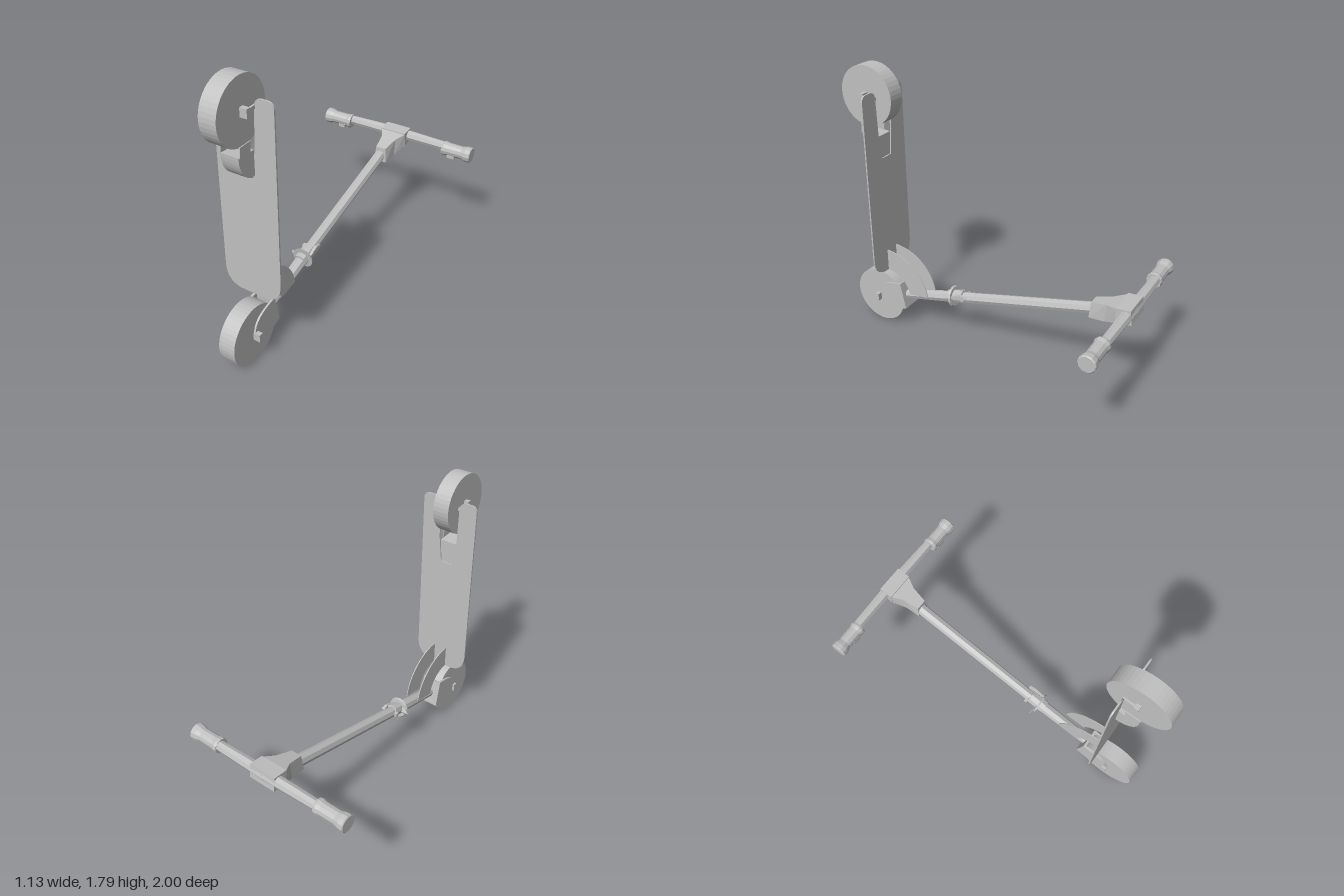
import * as THREE from 'three';
import { ConvexGeometry } from 'three/addons/geometries/ConvexGeometry.js';

const grey = new THREE.MeshStandardMaterial({ color: 0xc0c0c0, flatShading: true, side: THREE.DoubleSide });
grey.name = 'light grey';

export function createModel() {
  const root = new THREE.Group();
  root.name = 'foldedScooter';

  const add = (name, geo, x = 0, y = 0, z = 0) => {
    const m = new THREE.Mesh(geo, grey);
    m.name = name;
    m.position.set(x, y, z);
    root.add(m);
    return m;
  };
  // Plate drawn as a side profile (z, y) and extruded from x0 to x1
  const sidePlate = (name, shape, x0, x1) => {
    const g = new THREE.ExtrudeGeometry(shape, { depth: x1 - x0, bevelEnabled: false, curveSegments: 12 });
    g.rotateY(-Math.PI / 2);
    return add(name, g, x1);
  };
  const poly = (pts) => new THREE.Shape(pts.map((p) => new THREE.Vector2(...p)));
  const hull = (name, pts) => add(name, new ConvexGeometry(pts.map((p) => new THREE.Vector3(...p))));
  // Tapered rod between two points
  const rod = (name, a, b, ra, rb, sides) => {
    const va = new THREE.Vector3(...a), vb = new THREE.Vector3(...b);
    const d = vb.clone().sub(va);
    const m = add(name, new THREE.CylinderGeometry(rb, ra, d.length(), sides));
    m.position.copy(va).add(vb).multiplyScalar(0.5);
    m.quaternion.setFromUnitVectors(new THREE.Vector3(0, 1, 0), d.normalize());
    return m;
  };

  // Wheels and axles
  for (const [name, y, r] of [['frontWheel', 0.19, 0.19], ['rearWheel', 1.605, 0.188]]) {
    const g = new THREE.CylinderGeometry(r, r, 0.106, 44);
    g.rotateZ(Math.PI / 2);
    add(name, g, -0.003, y, 0.811);
    add(name + 'Axle', new THREE.BoxGeometry(0.18, 0.052, 0.028), 0.004, y, 0.812);
  }

  // Deck: thin rounded board with a tapered slot for the rear wheel
  const deck = new THREE.Shape();
  deck.moveTo(-0.09, 0.42);
  deck.lineTo(0.085, 0.42);
  deck.quadraticCurveTo(0.185, 0.435, 0.187, 0.55);
  deck.lineTo(0.187, 1.61);
  deck.quadraticCurveTo(0.187, 1.652, 0.145, 1.652);
  deck.lineTo(0.11, 1.652);
  deck.quadraticCurveTo(0.075, 1.65, 0.068, 1.61);
  deck.lineTo(0.06, 1.38);
  deck.lineTo(0.04, 1.215);
  deck.lineTo(-0.045, 1.215);
  deck.lineTo(-0.065, 1.38);
  deck.lineTo(-0.07, 1.61);
  deck.quadraticCurveTo(-0.08, 1.65, -0.115, 1.652);
  deck.lineTo(-0.15, 1.652);
  deck.quadraticCurveTo(-0.19, 1.652, -0.19, 1.61);
  deck.lineTo(-0.19, 0.55);
  deck.quadraticCurveTo(-0.188, 0.435, -0.09, 0.42);
  add('deck', new THREE.ExtrudeGeometry(deck, { depth: 0.01, bevelEnabled: false, curveSegments: 8 }), 0, 0, 0.727);

  // Tabs holding the rear axle
  for (const x of [-0.068, 0.068]) {
    add('rearDropout', new THREE.BoxGeometry(0.012, 0.02, 0.09), x, 1.603, 0.77);
  }

  // Rear fender: curved quarter block with two side ears
  const fender = new THREE.Shape();
  fender.moveTo(0.735, 1.36);
  fender.lineTo(0.735, 1.215);
  fender.lineTo(0.755, 1.208);
  fender.quadraticCurveTo(0.855, 1.24, 0.86, 1.37);
  sidePlate('rearFender', fender, -0.06, 0.053);
  const ear = [[0.775, 1.36], [0.86, 1.37], [0.855, 1.43], [0.77, 1.43]];
  for (const x of [-0.063, 0.057]) sidePlate('rearFenderEar', poly(ear), x, x + 0.006);

  // Folding guide: a pair of quarter-ring plates
  const ring = new THREE.Shape();
  ring.absarc(0.725, 0.25, 0.317, Math.PI / 2, Math.PI * 0.95, false);
  ring.absarc(0.725, 0.25, 0.17, Math.PI * 0.95, Math.PI / 2, true);
  for (const x of [-0.042, 0.048]) sidePlate('foldingGuide', ring, x, x + 0.006);

  // Front fork: side covers joined by a block behind the wheel
  const cover = new THREE.Shape();
  cover.moveTo(0.63, 0.335);
  cover.lineTo(0.592, 0.155);
  cover.quadraticCurveTo(0.69, 0.115, 0.75, 0.125);
  cover.quadraticCurveTo(0.81, 0.145, 0.822, 0.2);
  cover.quadraticCurveTo(0.82, 0.26, 0.77, 0.295);
  cover.quadraticCurveTo(0.72, 0.325, 0.63, 0.335);
  sidePlate('forkCoverRight', cover, -0.072, -0.056);
  sidePlate('forkCoverLeft', cover, 0.05, 0.062);
  sidePlate('forkBridge', poly([[0.645, 0.33], [0.63, 0.335], [0.592, 0.155], [0.632, 0.145]]), -0.068, 0.058);

  // Steering stem
  rod('stemLower', [0, 0.238, 0.61], [-0.006, 0.335, 0.25], 0.032, 0.038, 8);
  rod('stem', [-0.006, 0.335, 0.25], [-0.01, 0.6, -0.74], 0.035, 0.037, 8);

  // Folding clamp: thin collar and release lever
  rod('clampCollar', [-0.005, 0.343, 0.242], [-0.005, 0.345, 0.23], 0.07, 0.064, 14);
  hull('clampCollarTab', [[-0.1, 0.335, 0.22], [-0.1, 0.35, 0.215], [-0.04, 0.31, 0.24], [-0.04, 0.37, 0.235], [-0.04, 0.34, 0.215]]);
  rod('clampRing', [-0.005, 0.337, 0.27], [-0.005, 0.367, 0.16], 0.043, 0.042, 8);
  const lever = [[0.245, 0.36], [0.235, 0.345], [0.13, 0.37], [0.12, 0.385], [0.16, 0.395]];
  sidePlate('clampLever', poly(lever), 0.026, 0.046);
  add('clampBolt', new THREE.BoxGeometry(0.1, 0.022, 0.022), -0.01, 0.363, 0.155);

  // Handlebar head: tapered neck widening into a block
  hull('headNeck', [
    [-0.05, 0.555, -0.72], [0.04, 0.555, -0.72], [-0.04, 0.655, -0.725], [0.03, 0.655, -0.725],
    [-0.055, 0.57, -0.82], [0.05, 0.57, -0.82], [-0.055, 0.685, -0.83], [0.05, 0.685, -0.83],
  ]);
  hull('headFlare', [
    [-0.055, 0.57, -0.82], [0.05, 0.57, -0.82], [-0.055, 0.685, -0.83], [0.05, 0.685, -0.83],
    [-0.093, 0.615, -0.905], [0.088, 0.615, -0.905], [-0.093, 0.705, -0.9], [0.088, 0.705, -0.9],
  ]);
  hull('headBlock', [
    [-0.093, 0.612, -0.9], [0.088, 0.612, -0.9], [-0.093, 0.71, -0.895], [0.088, 0.71, -0.895],
    [-0.093, 0.63, -0.998], [0.088, 0.63, -0.998], [-0.093, 0.718, -0.985], [0.088, 0.718, -0.985],
  ]);

  // Handlebar and grips, mirrored
  for (const s of [-1, 1]) {
    rod('handlebar', [0, 0.674, -0.96], [s * 0.38, 0.672, -0.957], 0.038, 0.031, 8);
    const profile = [[0, 0.36], [0.046, 0.36], [0.05, 0.375], [0.044, 0.4], [0.043, 0.5], [0.052, 0.53], [0.054, 0.56], [0.048, 0.566], [0, 0.566]];
    const grip = add('grip', new THREE.LatheGeometry(profile.map((p) => new THREE.Vector2(...p)), 12), 0, 0.663, -0.948);
    grip.rotation.z = -s * Math.PI / 2;
    // Brake lever stub under each grip
    add('gripStub', new THREE.BoxGeometry(0.05, 0.02, 0.03), s * 0.43, 0.625, -0.925);
  }
  return root;
}
